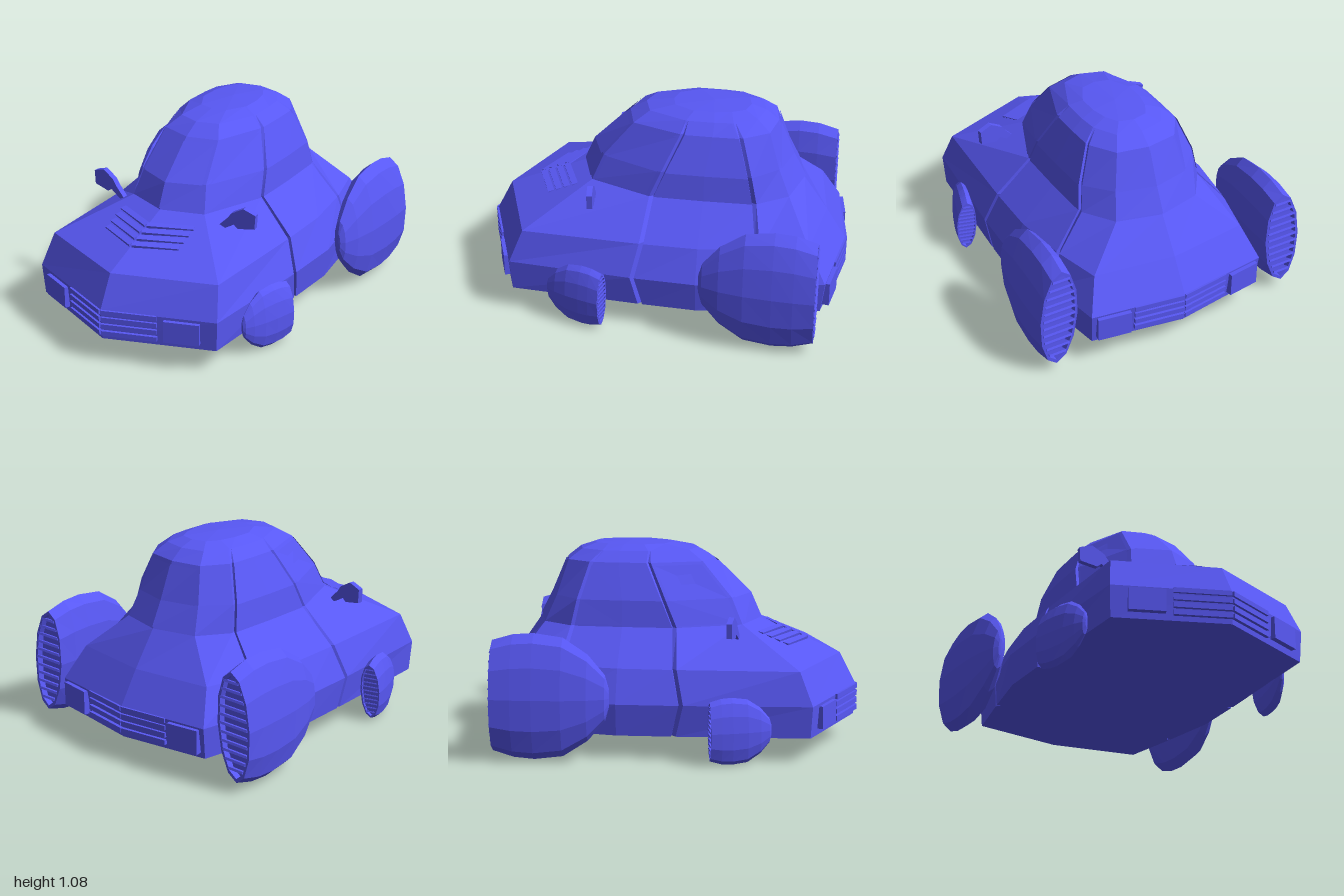
import * as THREE from 'three';

const blue = new THREE.MeshStandardMaterial({ color: 0x5858f5, flatShading: true, side: THREE.DoubleSide });
const V = (x, y, z) => new THREE.Vector3(x, y, z);

function mesh(geometry, name) {
  const m = new THREE.Mesh(geometry, blue);
  m.name = name;
  return m;
}

// Faceted skin through rows of points
function loft(rows, closed) {
  const pos = [];
  for (let j = 0; j < rows.length - 1; j++) {
    const n = rows[j].length;
    for (let i = 0; i < (closed ? n : n - 1); i++) {
      const k = (i + 1) % n;
      const [a, b, c, d] = [rows[j][i], rows[j][k], rows[j + 1][k], rows[j + 1][i]];
      for (const t of [[a, b, c], [a, c, d]]) {
        const area = t[1].clone().sub(t[0]).cross(t[2].clone().sub(t[0])).length();
        if (area > 1e-8) t.forEach(p => pos.push(p.x, p.y, p.z));
      }
    }
  }
  const g = new THREE.BufferGeometry();
  g.setAttribute('position', new THREE.Float32BufferAttribute(pos, 3));
  g.computeVertexNormals();
  return g;
}

// Half outlines by height: nose, front corner, door front, mid, rear, tail corner, tail
const LEVELS = [
  [0.13, [[0, .98], [.56, .76], [.6, .05], [.61, -.25], [.56, -.57], [.5, -.9], [0, -.98]]],
  [0.30, [[0, .99], [.57, .77], [.62, .09], [.63, -.25], [.57, -.58], [.51, -.92], [0, -.99]]],
  [0.475, [[0, .9], [.53, .7], [.555, .05], [.555, -.25], [.51, -.56], [.44, -.82], [0, -.88]]],
  [0.66, [[0, .46], [.23, .38], [.37, .03], [.37, -.25], [.36, -.52], [.24, -.69], [0, -.75]]],
  [0.80, [[0, .4], [.2, .32], [.35, -.03], [.35, -.25], [.34, -.49], [.21, -.63], [0, -.68]]],
  [0.99, [[0, .21], [.17, .16], [.27, -.12], [.27, -.28], [.265, -.43], [.17, -.57], [0, -.6]]],
  [1.045, [[0, .12], [.12, .08], [.21, -.13], [.21, -.28], [.2, -.38], [.13, -.5], [0, -.53]]],
  [1.072, [[0, -.03], [.08, -.05], [.14, -.16], [.14, -.27], [.12, -.36], [.08, -.43], [0, -.45]]],
];
const rings = LEVELS.map(([y, half]) => {
  const left = half.map(([x, z]) => V(x, y, z));
  const right = left.slice(1, -1).reverse().map(p => V(-p.x, p.y, p.z));
  return [...left, ...right];
});

// Cut a narrow channel along the four door lines
function withGrooves(ring, depth) {
  const n = ring.length;
  return ring.flatMap((p, i) => {
    if (![2, 4, 8, 10].includes(i)) return [p];
    const step = q => p.clone().add(q.clone().sub(p).setLength(0.012));
    return [step(ring[(i + n - 1) % n]), p.clone().lerp(V(0, p.y, -0.2), depth), step(ring[(i + 1) % n])];
  });
}

function buildShell() {
  const rows = rings.map((r, j) => withGrooves(r, j < 6 ? 0.05 : 0));
  const cap = (row, p) => row.map(() => p);
  rows.unshift(cap(rows[0], V(0, 0.13, 0)));
  rows.push(cap(rows[1], V(0, 1.08, -0.25)));
  return mesh(loft(rows, true), 'bodyShell');
}

// Window pane laid just proud of the cabin
function pane(columns, name) {
  const inset = (list, t, mix) => list.map((p, i) => {
    const q = i === 0 ? list[1] : i === list.length - 1 ? list[i - 1] : p;
    return mix(p, q, t);
  });
  const mixPoint = (p, q, t) => p.clone().lerp(q, t);
  const mixRow = (a, b, t) => a.map((p, i) => p.clone().lerp(b[i], t));
  let rows = [3, 4, 5].map(j => columns.map(c => rings[j][c]));
  rows = inset(rows.map(r => inset(r, 0.08, mixPoint)), 0.08, mixRow);
  rows.forEach(r => r.forEach(p => { p.x *= 1.02; p.z = -0.2 + (p.z + 0.2) * 1.02; }));
  return mesh(loft(rows, false), name);
}

// Teardrop pod with a slatted opening at its back
function buildPod(name) {
  const pod = new THREE.Group();
  pod.name = name;
  const ring = (z, w, h) => Array.from({ length: 12 }, (_, i) => {
    const a = i / 12 * Math.PI * 2;
    return V(w * Math.cos(a) - 0.06 * h * Math.sin(a), h * Math.sin(a), z);
  });
  const sections = [
    [0.035, 0, 0], [0.035, .09, .27], [0, .09, .27], [0, .105, .29], [.11, .106, .322],
    [.22, .102, .33], [.37, .09, .31], [.5, .066, .225], [.59, .035, .12], [.61, .012, .05], [.612, 0, 0],
  ];
  pod.add(mesh(loft(sections.map(s => ring(...s)), true), 'podShell'));
  for (let i = -5; i <= 5; i++) {
    const y = i * 0.046;
    const w = 0.18 * Math.sqrt(1 - (y / 0.27) ** 2);
    const slat = mesh(new THREE.BoxGeometry(w, 0.012, 0.045), 'podSlat');
    slat.position.set(-0.06 * y, y, 0.016);
    slat.rotation.x = 0.4;
    pod.add(slat);
  }
  return pod;
}

// Block lying on the angled nose or tail face
function trim(x0, x1, y, h, depth, front, name) {
  const slope = front ? -0.386 : 0.147;
  const x = (x0 + x1) / 2;
  const angle = -Math.atan(slope);
  const b = mesh(new THREE.BoxGeometry((x1 - x0) / Math.cos(angle), h, depth), name);
  b.position.set(x, y, (front ? 0.985 : -0.985) + slope * x);
  b.rotation.y = angle;
  return b;
}

function buildMirror() {
  const g = new THREE.Group();
  g.name = 'sideMirror';
  const plate = (pts, name) => {
    const shape = new THREE.Shape(pts.map(p => new THREE.Vector2(...p)));
    return mesh(new THREE.ExtrudeGeometry(shape, { depth: 0.03, bevelEnabled: false }), name);
  };
  g.add(plate([[.42, .62], [.515, .637], [.52, .715], [.45, .74], [.38, .7], [.36, .67]], 'mirrorHead'));
  g.add(plate([[.29, .6], [.33, .6], [.43, .66], [.38, .69]], 'mirrorStalk'));
  g.children.forEach(m => { m.geometry.translate(-0.4, 0, 0); });
  g.rotation.y = 0.12;
  g.position.set(0.4, 0, 0.33);
  return g;
}

function buildSide() {
  const side = new THREE.Group();
  const rear = buildPod('rearPod');
  rear.position.set(0.678, 0.345, -0.885);
  const front = buildPod('frontPod');
  front.scale.setScalar(0.53);
  front.position.set(0.665, 0.178, 0.245);
  front.rotation.y = -0.25;
  side.add(rear, front, buildMirror());

  // Lamps and grille bars
  side.add(trim(0.31, 0.485, 0.225, 0.12, 0.05, true, 'headlight'));
  side.add(trim(0.3, 0.48, 0.225, 0.13, 0.06, false, 'tailLight'));
  for (const y of [0.17, 0.21, 0.25, 0.29]) {
    side.add(trim(0, 0.275, y, 0.026, 0.03, true, 'frontGrilleBar'));
    side.add(trim(0, 0.275, y, 0.026, 0.03, false, 'rearGrilleBar'));
  }

  // Chevron louvres on the bonnet
  for (let i = 0; i < 4; i++) {
    const z = 0.575 + i * 0.045;
    const louvre = mesh(new THREE.BoxGeometry(0.25, 0.018, 0.034), 'bonnetLouvre');
    louvre.rotation.set(0.2, 0.41, 0, 'YXZ');
    louvre.position.set(0.115, 0.662 - (z - 0.46) * 0.42, z - 0.05);
    side.add(louvre);
  }
  side.add(pane([1, 2], 'quarterWindow'), pane([2, 3, 4], 'doorWindow'));
  return side;
}

export function createModel() {
  const car = new THREE.Group();
  car.name = 'hoverCar';
  car.add(buildShell(), pane([11, 0, 1], 'windscreen'), pane([5, 6, 7], 'rearWindow'));
  for (const s of [1, -1]) {
    const side = buildSide();
    side.name = s > 0 ? 'leftSide' : 'rightSide';
    side.scale.x = s;
    car.add(side);
  }
  return car;
}
